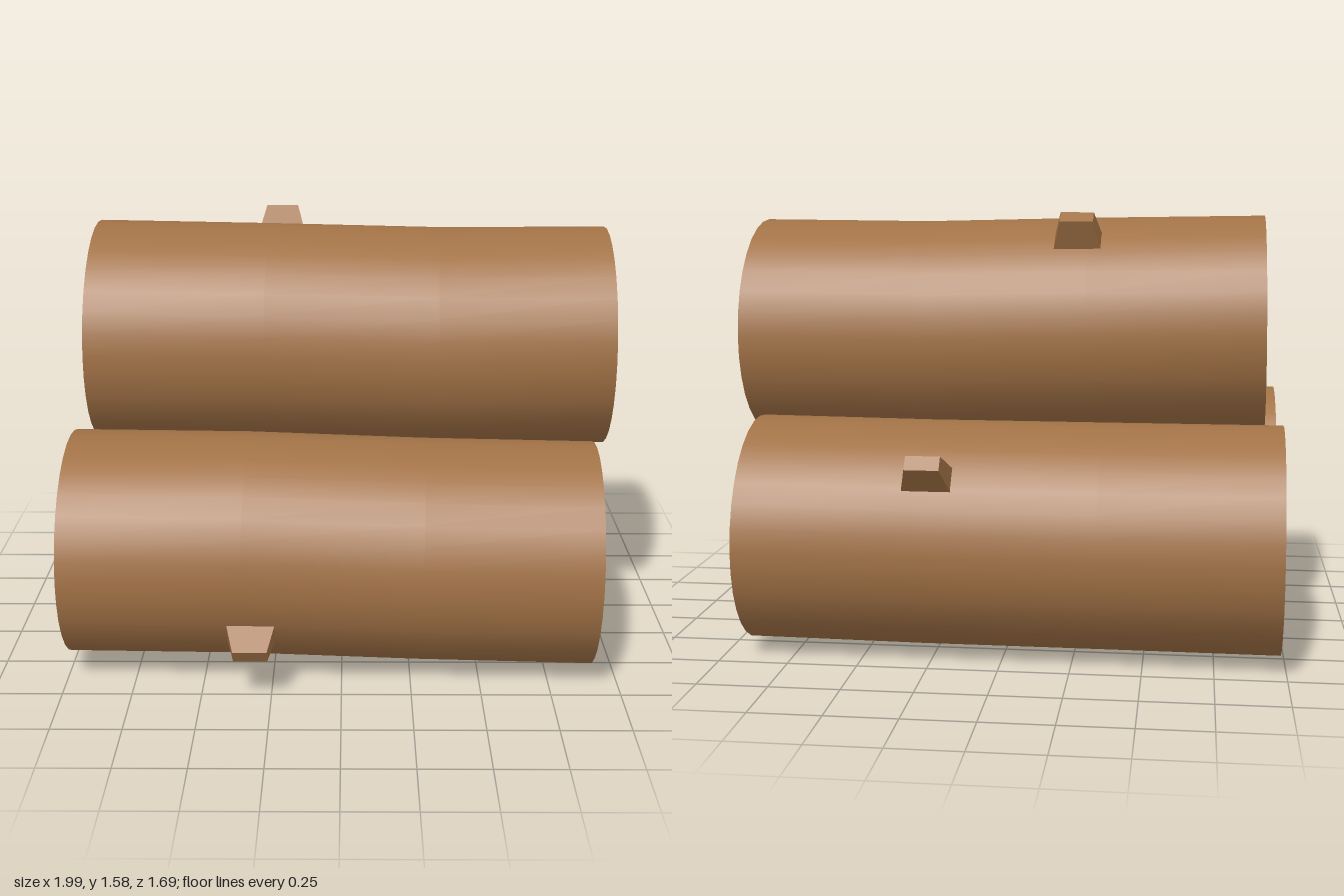
import * as THREE from 'three';
import { toCreasedNormals } from 'three/addons/utils/BufferGeometryUtils.js';

const R = 0.41, R_IN = 0.33, RECESS = 0.04, SIDES = 32;
const bark = new THREE.MeshStandardMaterial({ color: 0xa27246 });
const cutWood = new THREE.MeshStandardMaterial({ color: 0xdeb887 });

// Lathe a profile of [radius, t along the log], then bend it along the centre line
function bentLathe(profile, curve) {
  const geo = new THREE.LatheGeometry(profile.map(([r, t]) => new THREE.Vector2(r, t)), SIDES);
  const pos = geo.attributes.position;
  const up = new THREE.Vector3(), side = new THREE.Vector3();
  for (let i = 0; i < pos.count; i++) {
    const t = THREE.MathUtils.clamp(pos.getY(i), 0, 1);
    const p = curve.getPoint(t), dir = curve.getTangent(t);
    side.crossVectors(dir, up.set(0, 1, 0)).normalize();
    up.crossVectors(side, dir);
    p.addScaledVector(up, -pos.getX(i)).addScaledVector(side, pos.getZ(i));
    pos.setXYZ(i, p.x, p.y, p.z);
  }
  geo.computeVertexNormals();
  return geo;
}

// Four-sided tapered branch stub growing along +y
function stubGeometry(length) {
  const geo = new THREE.BoxGeometry(1, length, 1);
  const pos = geo.attributes.position;
  for (let i = 0; i < pos.count; i++) {
    const tip = pos.getY(i) > 0;
    pos.setX(i, pos.getX(i) * (tip ? 0.12 : 0.18));
    pos.setZ(i, pos.getZ(i) * (tip ? 0.055 : 0.1));
  }
  geo.translate(0, length / 2, 0);
  geo.computeVertexNormals();
  return geo;
}

// path: centre line points; stub: x position, angle in the yz plane from up towards +z, reach
function makeLog(name, path, stub) {
  const log = new THREE.Group();
  log.name = name;
  const curve = new THREE.CatmullRomCurve3(path.map(p => new THREE.Vector3(...p)));
  const d = RECESS / 1.91;

  // Bark shell with end rims and recess walls
  const shell = bentLathe([
    [R_IN, d], [R_IN, 0], [R, 0], [R, 1 / 3], [R, 2 / 3], [R, 1], [R_IN, 1], [R_IN, 1 - d],
  ], curve);
  const shellMesh = new THREE.Mesh(toCreasedNormals(shell, 0.7), bark);
  shellMesh.name = 'barkShell';
  log.add(shellMesh);

  // Pale cut faces
  const ends = { rightCutFace: [[0, d], [R_IN, d]], leftCutFace: [[R_IN, 1 - d], [0, 1 - d]] };
  for (const [endName, profile] of Object.entries(ends)) {
    const face = new THREE.Mesh(bentLathe(profile, curve), cutWood);
    face.name = endName;
    log.add(face);
  }

  // Branch stub
  const [x, angle, reach] = stub;
  const base = 0.385;
  const peg = new THREE.Mesh(stubGeometry(reach - base), bark);
  peg.name = 'branchStub';
  const a = THREE.MathUtils.degToRad(angle);
  const c = curve.getPoint((x - path[0][0]) / (path[3][0] - path[0][0]));
  peg.position.set(x, c.y + Math.cos(a) * base, c.z + Math.sin(a) * base);
  peg.rotation.x = a;
  log.add(peg);
  return log;
}

export function createModel() {
  const model = new THREE.Group();
  model.name = 'logPile';
  model.add(
    makeLog('frontLog',
      [[-0.99, 0.447, 0.385], [-0.35, 0.441, 0.39], [0.29, 0.417, 0.39], [0.92, 0.41, 0.408]],
      [-0.32, 120, 0.505]),
    makeLog('backLog',
      [[-0.985, 0.42, -0.435], [-0.35, 0.417, -0.422], [0.29, 0.417, -0.422], [0.925, 0.425, -0.43]],
      [0.245, -51, 0.525]),
    makeLog('topLog',
      [[-0.922, 1.15, -0.028], [-0.28, 1.14, -0.018], [0.35, 1.125, -0.02], [0.99, 1.13, -0.006]],
      [-0.235, -35, 0.515]),
  );
  return model;
}
